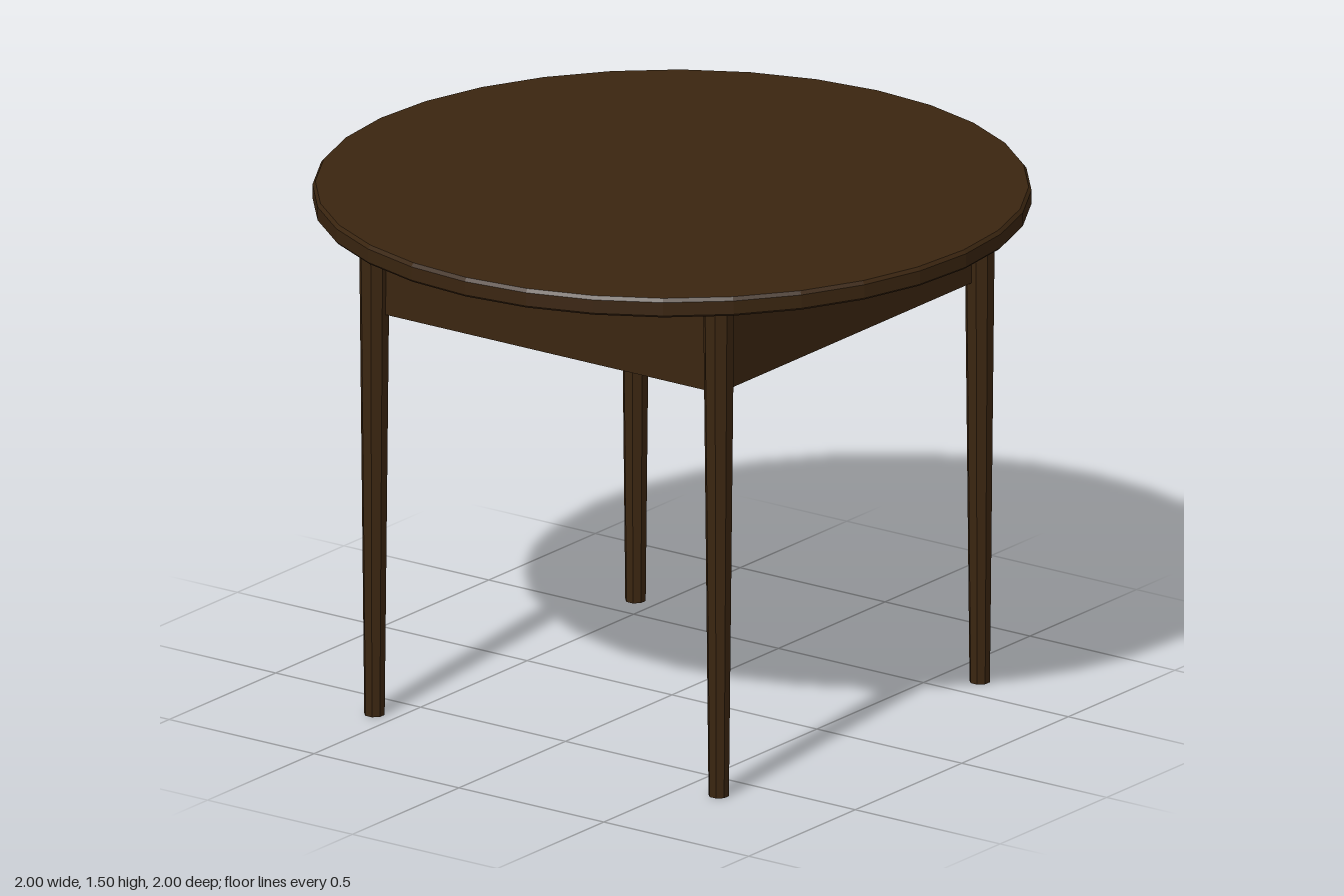
import * as THREE from 'three';

const wood = new THREE.MeshStandardMaterial({ color: 0x3a2510 });
wood.name = 'darkWood';
wood.flatShading = true;

// Leg centre lines
const X0 = -0.624, X1 = 0.601, Z0 = -0.568, Z1 = 0.62;
const TOP_UNDERSIDE = 1.445, APRON_BOTTOM = 1.18, APRON_THICK = 0.04;

function add(group, name, geometry, x, y, z) {
  const mesh = new THREE.Mesh(geometry, wood);
  mesh.name = name;
  mesh.position.set(x, y, z);
  group.add(mesh);
  return mesh;
}

export function createModel() {
  const table = new THREE.Group();
  table.name = 'roundTable';

  // Round top with a small bevel along its upper edge
  const profile = [[0, 0], [0.995, 0], [1, 0.006], [1, 0.045], [0.992, 0.055], [0, 0.055]]
    .map(([r, y]) => new THREE.Vector2(r, y));
  const top = add(table, 'tableTop', new THREE.LatheGeometry(profile, 32), 0, TOP_UNDERSIDE, 0);
  top.rotation.y = 0.02;

  // Four tapered eight-sided legs
  const flat = Math.cos(Math.PI / 8);
  for (const [side, x] of [['Right', X0], ['Left', X1]]) {
    for (const [end, z] of [['front', Z1], ['back', Z0]]) {
      const leg = new THREE.CylinderGeometry(0.041 / flat, 0.027 / flat, TOP_UNDERSIDE, 8);
      leg.rotateY(Math.PI / 8);
      add(table, `${end}${side}Leg`, leg, x, TOP_UNDERSIDE / 2, z);
    }
  }

  // Apron boards forming an open frame between the legs
  const h = TOP_UNDERSIDE - APRON_BOTTOM, y = APRON_BOTTOM + h / 2, t = APRON_THICK;
  const cx = (X0 + X1) / 2, cz = (Z0 + Z1) / 2;
  for (const [name, z] of [['frontApron', Z1 - t / 2], ['backApron', Z0 + t / 2]]) {
    add(table, name, new THREE.BoxGeometry(X1 - X0, h, t), cx, y, z);
  }
  for (const [name, x] of [['leftApron', X1 - t / 2], ['rightApron', X0 + t / 2]]) {
    add(table, name, new THREE.BoxGeometry(t, h, Z1 - Z0 - 2 * t), x, y, cz);
  }
  return table;
}
